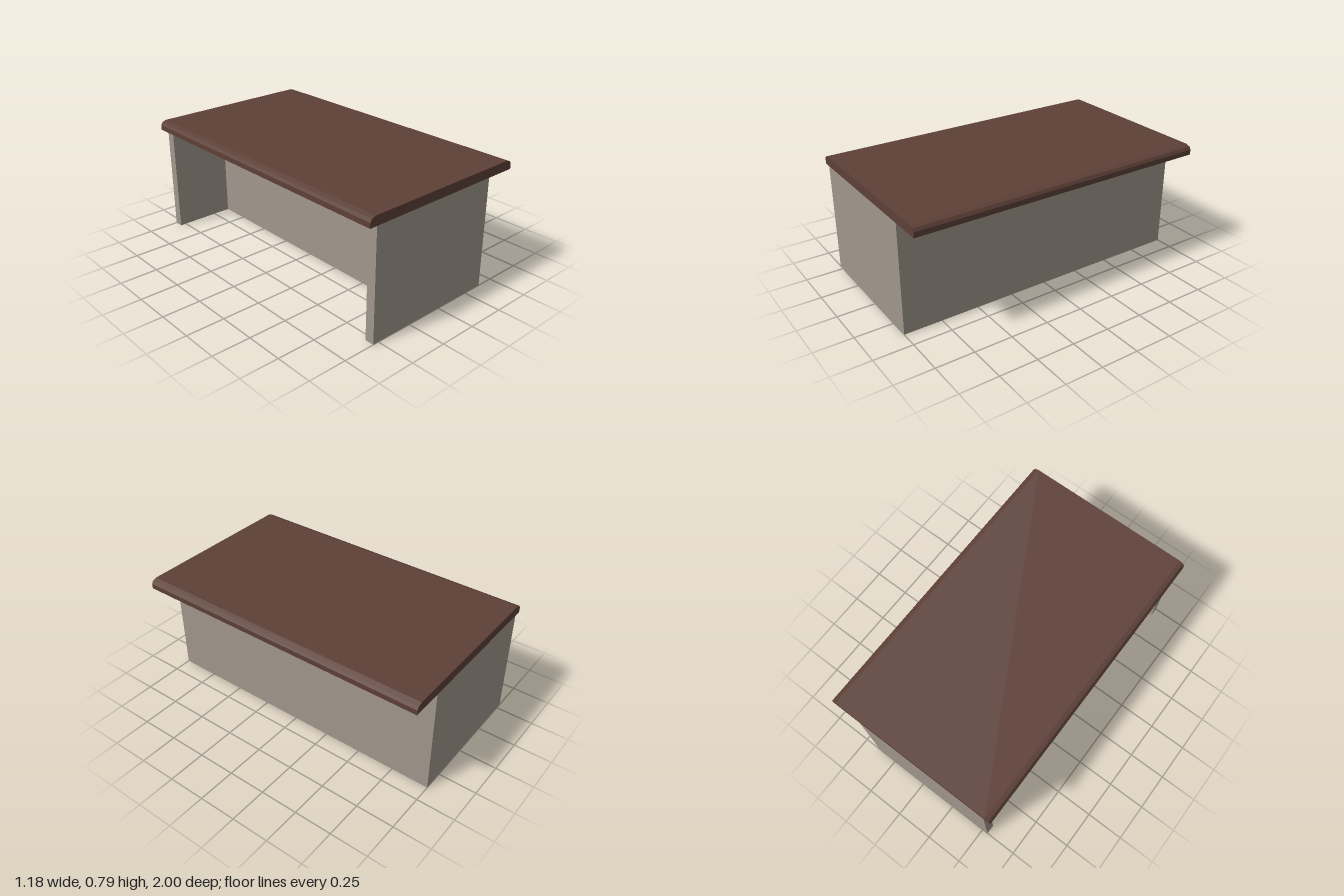
import * as THREE from 'three';

export function createModel() {
  const desk = new THREE.Group();
  desk.name = 'desk';

  const brown = new THREE.MeshStandardMaterial({ color: 0x5d4037 });
  brown.name = 'dark brown wood';
  const taupe = new THREE.MeshStandardMaterial({ color: 0xa1978c });
  taupe.name = 'taupe panel';

  // Extrudes a shape along z, centred on z = 0
  const add = (name, points, depth, material) => {
    const shape = new THREE.Shape(points.map(([a, b]) => new THREE.Vector2(a, b)));
    const geometry = new THREE.ExtrudeGeometry(shape, { depth, bevelEnabled: false });
    geometry.translate(0, 0, -depth / 2);
    const mesh = new THREE.Mesh(geometry, material);
    mesh.name = name;
    desk.add(mesh);
    return mesh;
  };

  // Desktop: slab with its two long upper edges eased
  const edge = [[0.59, 0.723], [0.59, 0.756], [0.579, 0.775], [0.552, 0.785]];
  const mirrored = edge.map(([x, y]) => [-x, y]).reverse();
  add('desktop', [...edge, ...mirrored], 2, brown);

  // Base: U-shaped plan (solid block plus two side panels), open toward -x
  const height = 0.723, back = -0.54, front = 0.385, recess = -0.13, inner = 0.94;
  const base = add('base', [
    [back, -1], [front, -1], [front, 1], [back, 1],
    [back, inner], [recess, inner], [recess, -inner], [back, -inner],
  ], height, taupe);
  base.rotation.x = -Math.PI / 2;
  base.position.y = height / 2;

  return desk;
}
